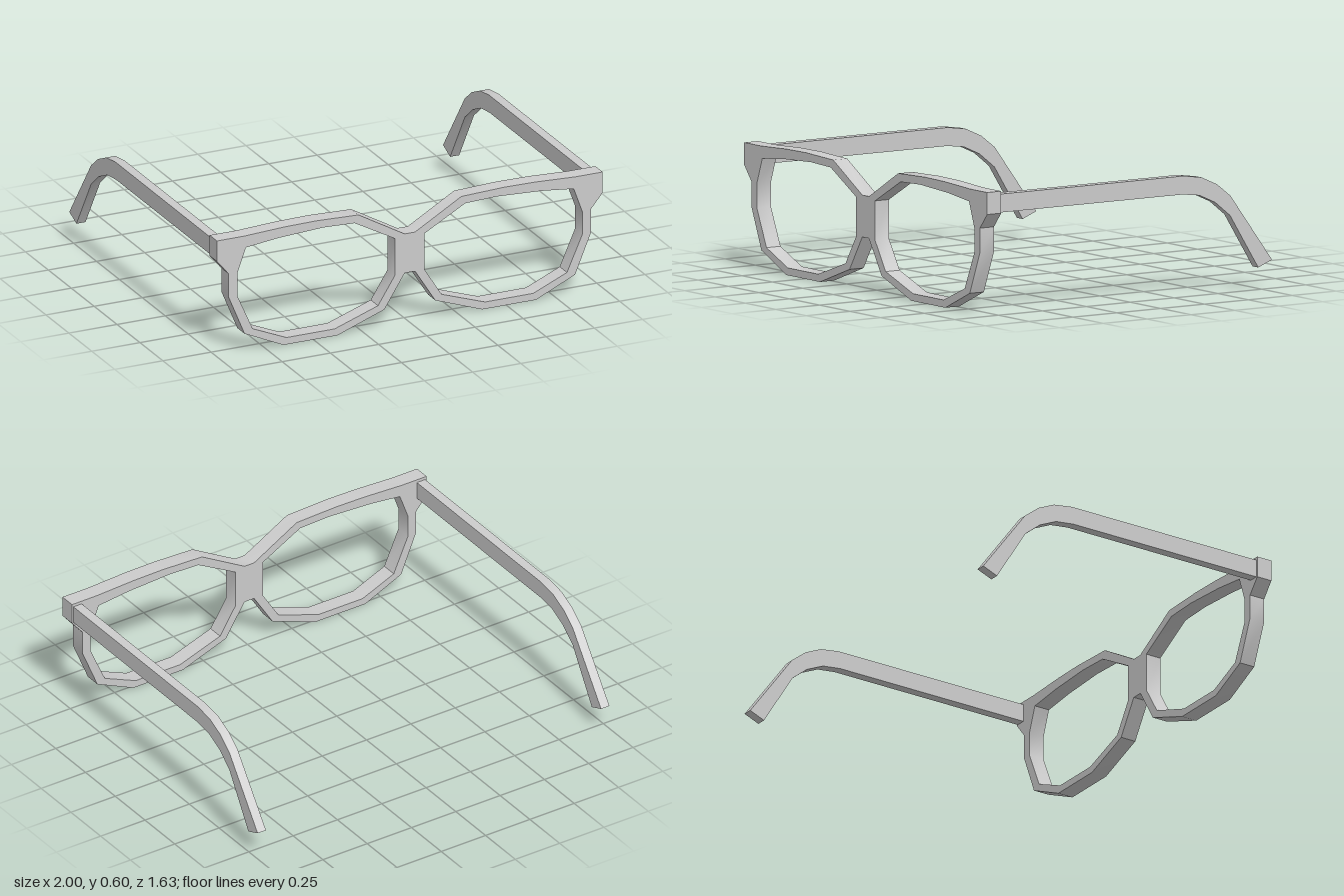
import * as THREE from 'three';
import { toCreasedNormals } from 'three/addons/utils/BufferGeometryUtils.js';

const material = new THREE.MeshStandardMaterial({ color: 0xcccccc });
const vectors = (points) => points.map(([x, y]) => new THREE.Vector2(x, y));
const mirror = (points) => points.map(([x, y]) => [-x, y]).reverse();

// Straight extrusion with gentle bends smoothed and real corners kept sharp
function extrude(shape, depth) {
  const geometry = new THREE.ExtrudeGeometry(shape, { depth, bevelEnabled: false });
  return toCreasedNormals(geometry, 0.6);
}

// Outline of one half of the front, counter-clockwise from bridge bottom to bridge top
const halfRim = [
  [0.027, 0.254], [0.132, 0.088], [0.375, 0], [0.655, 0], [0.857, 0.092],
  [0.94, 0.292], [0.94, 0.41], [1, 0.482], [1, 0.586], [0.86, 0.586],
  [0.65, 0.596], [0.49, 0.598], [0.267, 0.59], [0.027, 0.452],
];

// Lens opening
const opening = [
  [0.077, 0.437], [0.287, 0.552], [0.45, 0.558], [0.68, 0.546], [0.85, 0.527],
  [0.895, 0.403], [0.895, 0.29], [0.815, 0.11], [0.64, 0.035], [0.39, 0.035],
  [0.165, 0.113], [0.077, 0.252],
];

// Side profile of a temple arm as [z, y]
const armProfile = [
  [0.74, 0.571], [-0.31, 0.571], [-0.412, 0.556], [-0.5, 0.516], [-0.576, 0.456],
  [-0.813, 0.134], [-0.735, 0.103], [-0.574, 0.363], [-0.49, 0.431],
  [-0.4, 0.472], [-0.303, 0.484], [0.74, 0.484],
];

export function createModel() {
  const group = new THREE.Group();
  group.name = 'eyeglasses';

  // Front frame: both rims and the bridge in one piece
  const frameShape = new THREE.Shape(vectors([...halfRim, ...mirror(halfRim)]));
  for (const points of [opening, mirror(opening)]) {
    frameShape.holes.push(new THREE.Path(vectors(points)));
  }
  const frame = new THREE.Mesh(extrude(frameShape, 0.08), material);
  frame.name = 'frontFrame';
  frame.position.z = 0.735;
  group.add(frame);

  // Temple arms with bent ear hooks
  const thickness = 0.047;
  const armGeometry = extrude(new THREE.Shape(vectors(armProfile)), thickness);
  armGeometry.rotateY(-Math.PI / 2).translate(thickness / 2, 0, 0);
  for (const [name, side] of [['leftTemple', 1], ['rightTemple', -1]]) {
    const arm = new THREE.Mesh(armGeometry, material);
    arm.name = name;
    arm.position.x = side * 0.969;
    group.add(arm);
  }
  return group;
}
